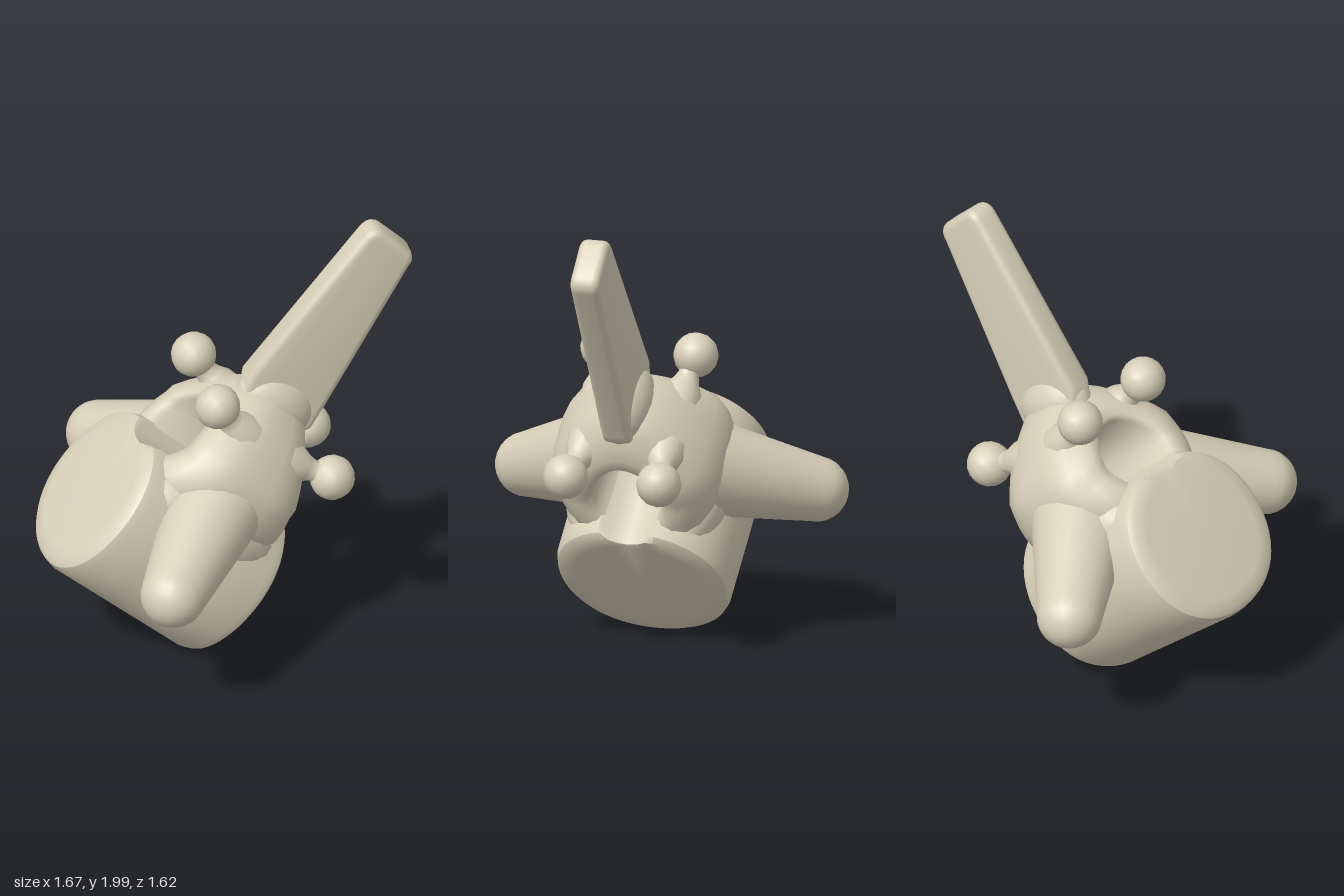
import * as THREE from 'three';
import { toCreasedNormals } from 'three/addons/utils/BufferGeometryUtils.js';

const HOLE_Y = 0.46; // height of the tunnel axis above the drum axis
const V = (x, y, z) => new THREE.Vector3(x, y, z);
const ramp = (v, from, to) => THREE.MathUtils.clamp((v - from) / (to - from), 0, 1);

// Move every vertex of a geometry by a rule, then rebuild the normals
function reshape(geo, rule, crease = 0.6) {
  const p = geo.attributes.position;
  const v = new THREE.Vector3();
  for (let i = 0; i < p.count; i++) {
    rule(v.fromBufferAttribute(p, i));
    p.setXYZ(i, v.x, v.y, v.z);
  }
  geo.deleteAttribute('normal');
  geo.deleteAttribute('uv');
  return toCreasedNormals(geo, crease);
}

// Push a vertex out of the tunnel
function clearTunnel(v, radius) {
  const dy = v.y - HOLE_Y, d = Math.hypot(dy, v.z);
  if (d < radius && d > 1e-4) {
    v.y = HOLE_Y + dy * radius / d;
    v.z *= radius / d;
  }
}

const lathe = (pts, segments) =>
  new THREE.LatheGeometry(pts.map(([x, y]) => new THREE.Vector2(x, y)), segments);

// Turn and move a geometry running along +y so it starts at a and points to b
function aim(geo, a, b) {
  const q = new THREE.Quaternion().setFromUnitVectors(V(0, 1, 0), b.clone().sub(a).normalize());
  return geo.applyQuaternion(q).translate(a.x, a.y, a.z);
}

export function createModel() {
  const stone = new THREE.MeshStandardMaterial({ color: 0xd8cfb8 });
  stone.name = 'warm stone';
  const group = new THREE.Group();
  const tilted = new THREE.Group();
  tilted.name = 'tiltedBody';
  tilted.position.set(-0.29, 0.545, 0);
  tilted.rotation.z = -Math.atan2(0.66, 0.75);
  group.add(tilted);
  const add = (name, geo) => {
    const mesh = new THREE.Mesh(geo, stone);
    mesh.name = name;
    tilted.add(mesh);
    return mesh;
  };

  // Drum with softened rims, slightly squared, notched under the tunnel
  const drum = lathe([[0, -0.42], [0.29, -0.42], [0.345, -0.415], [0.37, -0.395], [0.38, -0.36], [0.38, -0.15],
    [0.38, 0.15], [0.38, 0.36], [0.37, 0.395], [0.345, 0.415], [0.29, 0.42], [0, 0.42]], 56).rotateZ(-Math.PI / 2);
  add('drum', reshape(drum, v => {
    const r = Math.hypot(v.y, v.z);
    if (r > 0) {
      const k = r / Math.pow(Math.abs(v.y) ** 2.15 + Math.abs(v.z) ** 2.15, 1 / 2.15);
      v.y *= k;
      v.z *= k * 1.03;
    }
    clearTunnel(v, 0.155);
  }));

  // Domed hub around the tunnel, narrowing towards the fin and spreading over the drum
  const half = [[0.385, 0.08], [0.372, 0.16], [0.34, 0.23], [0.29, 0.275], [0.23, 0.3], [0.18, 0.298], [0.158, 0.27]];
  const ring = [...half.map(([r, y]) => [r, -y]).reverse(), ...half, [0.155, 0], [0.158, -0.27]];
  add('hub', reshape(lathe(ring, 40).rotateZ(-Math.PI / 2).translate(0, HOLE_Y, 0), v => {
    v.x *= 1 - 0.35 * ramp(v.y, 0.5, 0.8) + 0.22 * (1 - ramp(v.y, 0.28, 0.46));
    v.z *= 1 - 0.3 * ramp(v.y, 0.5, 0.85);
  }, 1));

  // Tapered fin with rounded edges
  const fin = new THREE.Shape();
  fin.moveTo(-0.1, 0.69);
  fin.lineTo(-0.19, 0.84);
  fin.lineTo(-0.225, 1.67);
  fin.quadraticCurveTo(-0.225, 1.705, -0.2, 1.705);
  fin.lineTo(-0.04, 1.695);
  fin.quadraticCurveTo(-0.015, 1.69, -0.015, 1.66);
  fin.lineTo(0.145, 0.9);
  fin.quadraticCurveTo(0.155, 0.84, 0.165, 0.79);
  fin.lineTo(0.1, 0.69);
  fin.closePath();
  add('fin', toCreasedNormals(new THREE.ExtrudeGeometry(fin, {
    depth: 0.07, bevelEnabled: true, bevelThickness: 0.032, bevelSize: 0.032, bevelSegments: 4, curveSegments: 5,
  }).translate(0, 0, -0.035), 0.9));

  // Swelling where the fin leaves the hub
  add('finRoot', new THREE.SphereGeometry(1, 24, 16).scale(0.2, 0.15, 0.12)).position.set(-0.005, 0.79, 0);

  for (const side of [1, -1]) {
    const label = side > 0 ? 'left' : 'right';

    // Arm: cone with a round tip, rooted inside the hub
    const root = V(0, 0.365, 0.15 * side), tip = V(-0.152, 0.006, 0.665 * side);
    const length = root.distanceTo(tip);
    const profile = [0, 0.15, 0.3, 0.5, 0.75].map(t => [0.235 - 0.09 * t, length * t]);
    for (let i = 0; i <= 7; i++) {
      const t = i / 7 * Math.PI / 2;
      profile.push([0.145 * Math.cos(t), length + 0.145 * Math.sin(t)]);
    }
    add(label + 'Arm', reshape(aim(lathe(profile, 24), root, tip), v => clearTunnel(v, 0.2), 1));

    // Fillet between drum and hub
    const fillet = new THREE.SphereGeometry(1, 24, 16).scale(0.36, 0.17, 0.15).translate(0, 0.23, 0.225 * side);
    add(label + 'Fillet', reshape(fillet, v => clearTunnel(v, 0.16), 1));

    // Knobs on flared necks
    for (const end of [1, -1]) {
      const name = label + (end > 0 ? 'Lower' : 'Upper') + 'Knob';
      const centre = V(0.345 * end, 0.702, 0.215 * side);
      add(name, new THREE.SphereGeometry(0.1, 14, 10)).position.copy(centre);
      const foot = V(0.13 * end, 0.64, 0.175 * side);
      const neck = lathe([[0.1, 0], [0.085, 0.06], [0.06, 0.1], [0.047, 0.135], [0.055, 0.19]], 14);
      add(name + 'Neck', aim(neck, foot, centre));
    }
  }
  return group;
}
